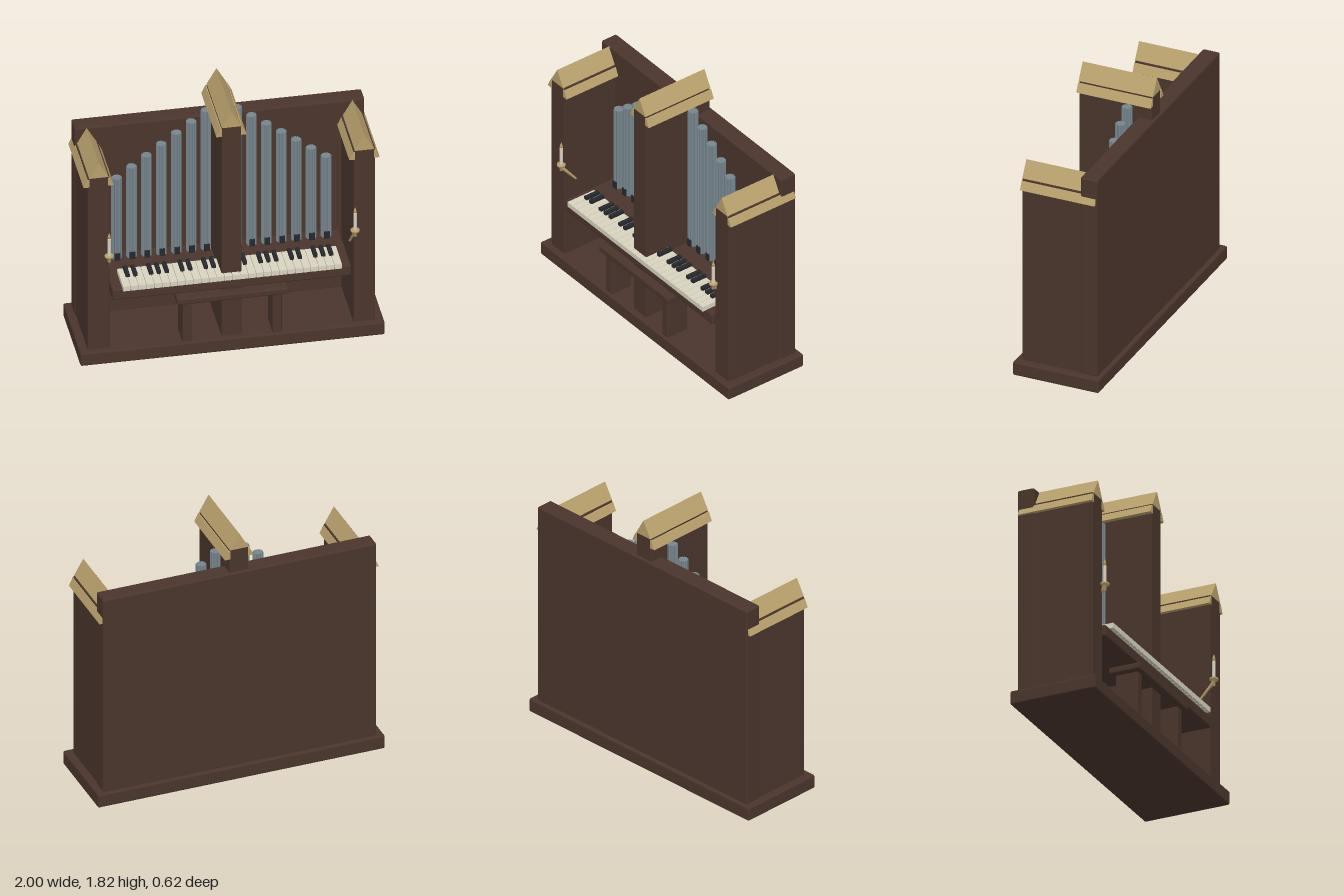
import * as THREE from 'three';
import { RoundedBoxGeometry } from 'three/addons/geometries/RoundedBoxGeometry.js';

const mat = (name, color) => {
  const m = new THREE.MeshStandardMaterial({ color });
  m.name = name;
  return m;
};

export function createModel() {
  const wood = mat('dark wood', 0x4a352c);
  const gold = mat('old gold', 0xb8a06c);
  const metal = mat('pipe metal', 0x76858d);
  const ivory = mat('ivory', 0xd9d3bf);
  const black = mat('ebony', 0x26282c);
  const root = new THREE.Group();
  root.name = 'pipeOrgan';

  const add = (name, geometry, material, x = 0, y = 0, z = 0) => {
    const mesh = new THREE.Mesh(geometry, material);
    mesh.name = name;
    mesh.position.set(x, y, z);
    root.add(mesh);
    return mesh;
  };
  // Box given by its limits, with softened edges when r > 0
  const box = (name, material, x0, x1, y0, y1, z0, z1, r = 0) => {
    const size = [x1 - x0, y1 - y0, z1 - z0];
    const g = r ? new RoundedBoxGeometry(...size, 2, r) : new THREE.BoxGeometry(...size);
    return add(name, g, material, (x0 + x1) / 2, (y0 + y1) / 2, (z0 + z1) / 2);
  };
  // Straight prism along z from a list of [x, y] corners
  const prism = (name, material, points, x, y, z0, z1) => {
    const shape = new THREE.Shape(points.map(p => new THREE.Vector2(...p)));
    const g = new THREE.ExtrudeGeometry(shape, { depth: z1 - z0, bevelEnabled: false });
    return add(name, g, material, x, y, z0);
  };

  // Case
  box('base', wood, -1, 1, 0, 0.097, -0.31, 0.30, 0.012);
  box('backPanel', wood, -0.953, 0.953, 0.09, 1.537, -0.28, -0.16, 0.012);

  // Towers with a gabled roof and flared eaves
  for (const [x, top] of [[-0.873, 1.535], [0, 1.82], [0.873, 1.535]]) {
    const half = x ? 0.072 : 0.066;
    box('tower', wood, x - half, x + half, 0.09, top - 0.11, -0.262, 0.256, 0.006);
    prism('roof', gold, [[-0.065, -0.113], [0.065, -0.113], [0, 0]], x, top, -0.268, 0.26);
    for (const s of [-1, 1]) {
      prism('eave', gold,
        [[s * 0.062, -0.18], [s * 0.1, -0.18], [s * 0.073, -0.122], [s * 0.062, -0.122]],
        x, top, -0.268, 0.26);
    }
  }

  // Key desk
  box('keyDesk', wood, -0.785, 0.785, 0.465, 0.547, -0.17, 0.27, 0.012);

  // Keyboard: four octaves
  const keys = 28, pitch = 1.44 / keys;
  for (let i = 0; i < keys; i++) {
    const x = -0.72 + i * pitch;
    box('whiteKey', ivory, x + 0.0015, x + pitch - 0.0015, 0.545, 0.58, 0.08, 0.295);
    if ([1, 2, 4, 5, 6].includes(i % 7)) {
      box('blackKey', black, x - 0.013, x + 0.013, 0.57, 0.602, 0.08, 0.187);
    }
  }

  // Fluted pipes, lower towards the sides
  const flutes = 12;
  const section = Array.from({ length: flutes * 2 }, (_, i) => {
    const a = (i / flutes) * Math.PI, r = i % 2 ? 0.029 : 0.035;
    return new THREE.Vector2(r * Math.cos(a), r * Math.sin(a));
  });
  for (let i = 0; i < 7; i++) {
    const top = 1.62 - i * 0.075;
    const g = new THREE.ExtrudeGeometry(new THREE.Shape(section), { depth: top - 0.435, bevelEnabled: false });
    g.rotateX(-Math.PI / 2);
    for (const s of [-1, 1]) {
      const x = s * (0.1 + i * 0.098);
      add('pipe', g, metal, x, 0.435, -0.1);
      box('pipeMouth', black, x - 0.018, x + 0.018, 0.547, 0.6, -0.1, -0.063);
    }
  }

  // Bench
  box('benchSeat', wood, -0.367, 0.367, 0.4, 0.447, 0.09, 0.31, 0.012);
  for (const s of [-1, 1]) {
    box('benchLeg', wood, s * 0.296 - 0.031, s * 0.296 + 0.031, 0.09, 0.41, 0.12, 0.28, 0.008);
  }

  // Candles on slanted arms
  const flame = new THREE.LatheGeometry(
    [[0, 0], [0.011, 0.012], [0.009, 0.025], [0, 0.052]].map(p => new THREE.Vector2(...p)), 10);
  const saucer = new THREE.LatheGeometry(
    [[0, -0.045], [0.012, -0.035], [0.012, -0.008], [0.029, 0], [0.029, 0.014], [0, 0.014]]
      .map(p => new THREE.Vector2(...p)), 14);
  for (const s of [-1, 1]) {
    const x = s * 0.808, z = 0.277;
    add('candle', new THREE.CylinderGeometry(0.011, 0.011, 0.13, 12), ivory, x, 0.885, z);
    add('flame', flame, gold, x, 0.948, z);
    add('saucer', saucer, gold, x, 0.812, z);
    const from = new THREE.Vector3(x, 0.8, z), to = new THREE.Vector3(s * 0.792, 0.67, 0.17);
    const dir = to.clone().sub(from);
    const arm = add('candleArm', new THREE.CylinderGeometry(0.007, 0.013, dir.length(), 8), gold);
    arm.position.copy(from).add(to).multiplyScalar(0.5);
    arm.quaternion.setFromUnitVectors(new THREE.Vector3(0, 1, 0), dir.normalize());
  }
  return root;
}
